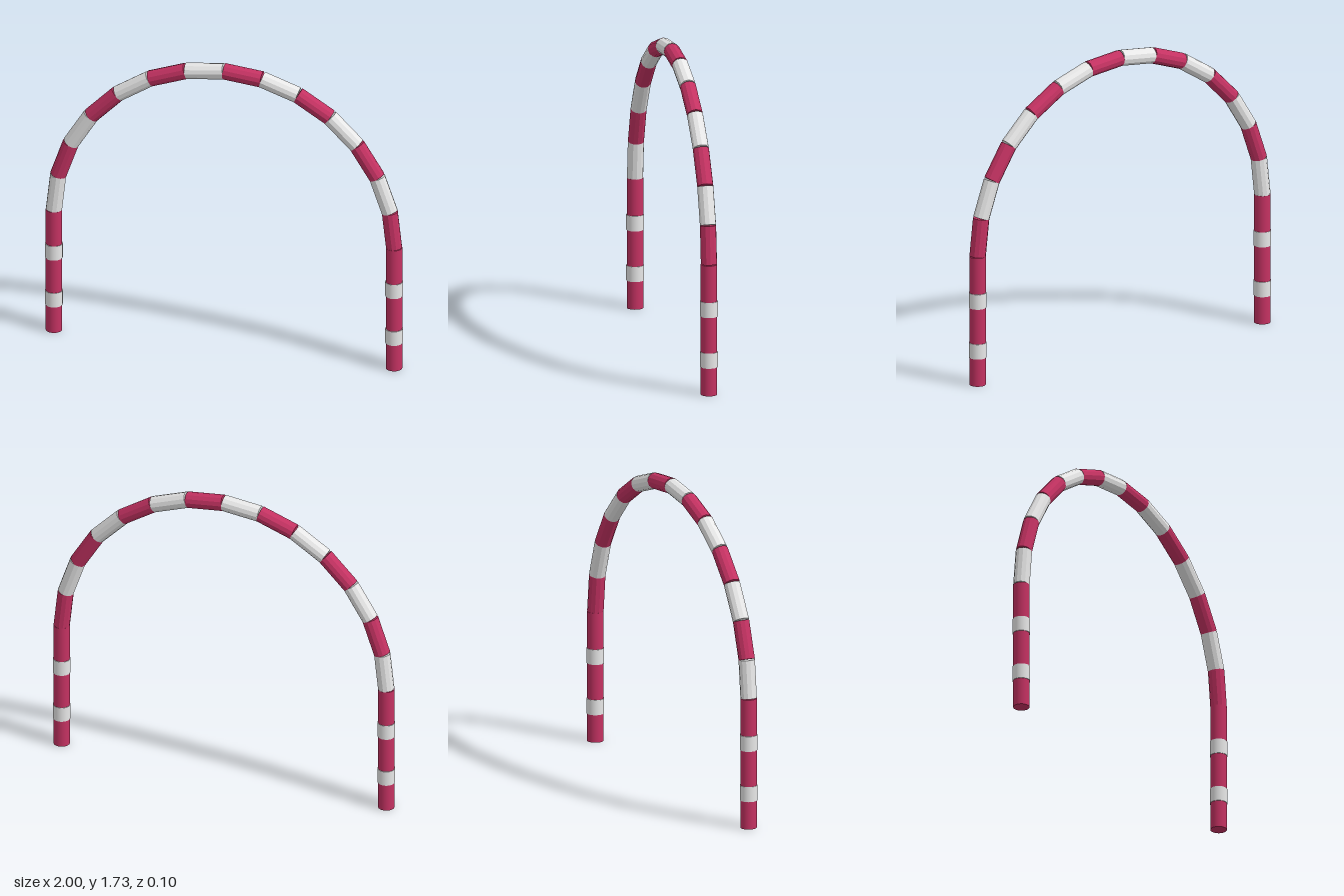
import * as THREE from 'three';

const RADIUS = 0.952;      // centreline radius of the arch and x of the posts
const SPRING = 0.73;       // height where the arch starts
const TUBE = 0.0448;
const SEGMENTS = 14;

export function createModel() {
  const model = new THREE.Group();
  model.name = 'stripedArch';

  const red = new THREE.MeshStandardMaterial({ color: 0xc43262 });
  red.name = 'crimson';
  const white = new THREE.MeshStandardMaterial({ color: 0xececec });
  white.name = 'white';

  const add = (name, geometry, material, x, y, turn = 0) => {
    const mesh = new THREE.Mesh(geometry, material);
    mesh.name = name;
    mesh.position.set(x, y, 0);
    mesh.rotation.z = turn;
    model.add(mesh);
  };

  // Upright posts, each with two slightly wider bands
  const post = new THREE.CylinderGeometry(TUBE, TUBE, SPRING, 24);
  const band = new THREE.CylinderGeometry(0.048, 0.048, 0.085, 24);
  for (const [side, s] of [['left', 1], ['right', -1]]) {
    add(side + 'Post', post, red, s * RADIUS, SPRING / 2);
    add(side + 'LowerBand', band, white, s * RADIUS, 0.198);
    add(side + 'UpperBand', band, white, s * RADIUS, 0.482);
  }

  // Arch of straight faceted segments in alternating colours, from left to right
  const step = Math.PI / SEGMENTS;
  const chord = 2 * RADIUS * Math.sin(step / 2);
  const midRadius = RADIUS * Math.cos(step / 2);
  // Separate face normals keep the facets crisp
  const segment = new THREE.CylinderGeometry(TUBE, TUBE, chord, 12).toNonIndexed();
  segment.computeVertexNormals();
  for (let i = 0; i < SEGMENTS; i++) {
    const a = (i + 0.5) * step;
    add('archSegment' + (i + 1), segment, i % 2 ? white : red,
      midRadius * Math.cos(a), SPRING + midRadius * Math.sin(a), a);
  }
  return model;
}
